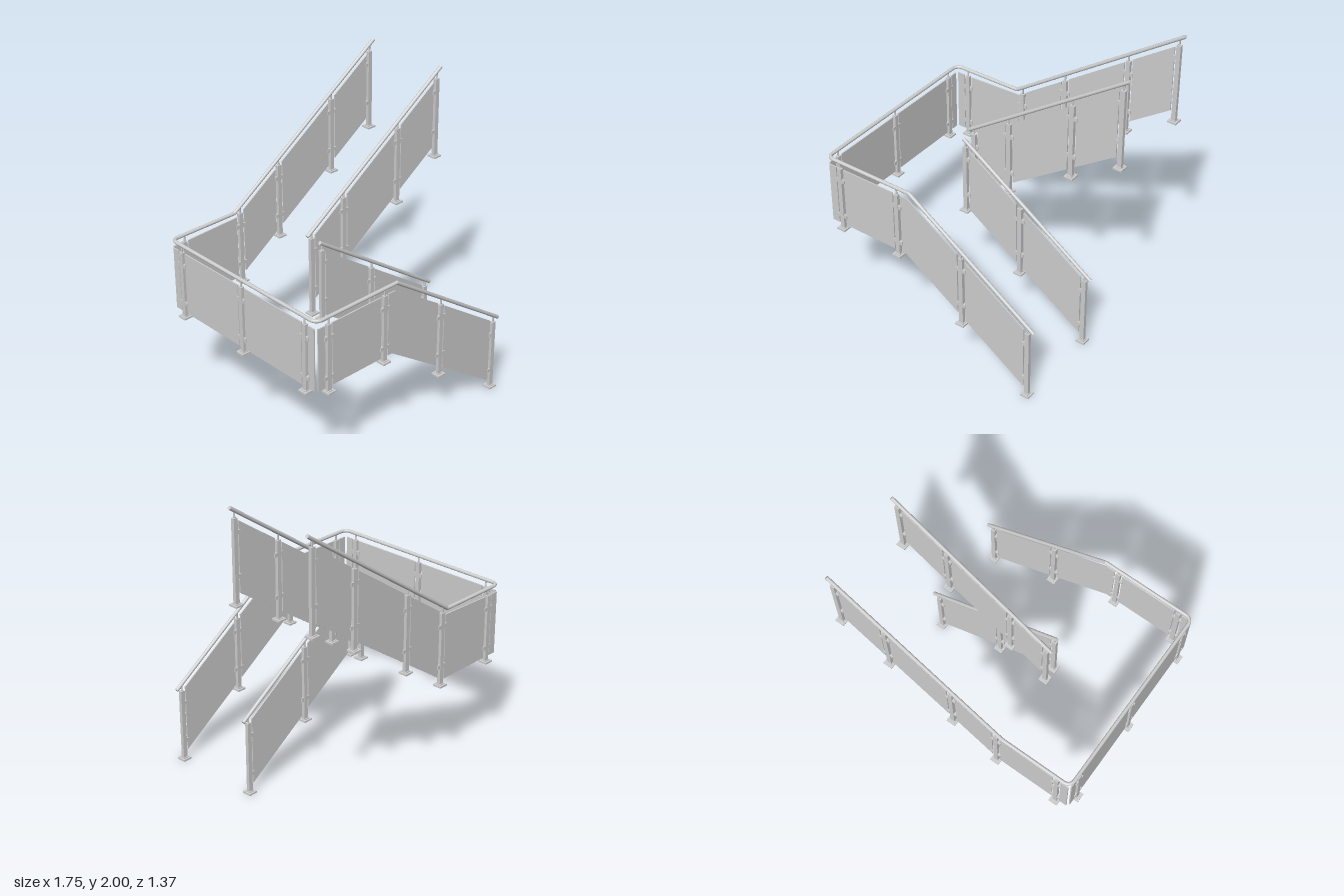
import * as THREE from 'three';

const steel = new THREE.MeshStandardMaterial({ color: 0xcecece });
steel.name = 'satin grey';

const LEVEL = 1.15, SLOPE = 0.688, RAIL_R = 0.012;
const HALF_W = 0.655, INNER = 0.046, END_X = -0.85, BEND_R = 0.045;

// Handrail heights along each flight
const level = () => LEVEL;
const lowerLine = x => LEVEL - SLOPE * (x + 0.205);
const upperLine = x => LEVEL + SLOPE * (x + 0.352);
const lowerOuter = x => Math.min(LEVEL, lowerLine(x));
const upperOuter = x => Math.max(LEVEL, upperLine(x));

// Lower edges of the infill panels
const LEVEL_BOTTOM = 0.674;
const lowerBottom = x => Math.min(LEVEL_BOTTOM, lowerLine(x) - 0.503);
const upperBottom = x => Math.max(LEVEL_BOTTOM, upperLine(x) - 0.5);
const levelBottom = () => LEVEL_BOTTOM;

function add(parent, name, geometry, x = 0, y = 0, z = 0) {
  const mesh = new THREE.Mesh(geometry, steel);
  mesh.name = name;
  mesh.position.set(x, y, z);
  parent.add(mesh);
  return mesh;
}

function box(parent, name, w, h, d, x, y) {
  return add(parent, name, new THREE.BoxGeometry(w, h, d), x, y, 0);
}

// Post with foot plate, collar, rail stem and panel clamps
function addPost(parent, x, base, railY, sides) {
  const post = new THREE.Group();
  post.name = 'post';
  const top = railY - 0.047;
  box(post, 'footPlate', 0.062, 0.012, 0.062, x, base + 0.006);
  box(post, 'footCollar', 0.038, 0.005, 0.038, x, base + 0.0145);
  box(post, 'upright', 0.03, top - base - 0.01, 0.023, x, (top + base + 0.01) / 2);
  add(post, 'railStem', new THREE.CylinderGeometry(0.006, 0.006, 0.047, 10), x, top + 0.0235, 0);
  for (const side of sides)
    for (const drop of [0.09, 0.362])
      box(post, 'panelClamp', 0.026, 0.026, 0.02, x + side * 0.024, top - drop);
  parent.add(post);
}

// Infill panel following the rail above and the floor line below
function addPanel(parent, x0, x1, railAt, bottomAt) {
  const xs = [x0];
  for (const kink of [-0.241, -0.22]) if (kink > x0 && kink < x1) xs.push(kink);
  xs.push(x1);
  const top = xs.map(x => new THREE.Vector2(x, railAt(x) - 0.048));
  const bottom = xs.map(x => new THREE.Vector2(x, bottomAt(x))).reverse();
  const geometry = new THREE.ExtrudeGeometry(new THREE.Shape([...top, ...bottom]),
    { depth: 0.008, bevelEnabled: false });
  add(parent, 'infillPanel', geometry, 0, 0, -0.004);
}

// A row of posts with panels between them; stubs are short corner panels
function addRun(parent, name, posts, railAt, bottomAt, { startStub, endStub } = {}) {
  const run = new THREE.Group();
  run.name = name;
  const last = posts.length - 1;
  posts.forEach(([x, base], i) => {
    const sides = [];
    if (i > 0 || startStub !== undefined) sides.push(-1);
    if (i < last || endStub !== undefined) sides.push(1);
    addPost(run, x, base, railAt(x), sides);
    if (i < last) addPanel(run, x + 0.029, posts[i + 1][0] - 0.029, railAt, bottomAt);
  });
  if (startStub !== undefined) addPanel(run, startStub, posts[0][0] - 0.029, railAt, bottomAt);
  if (endStub !== undefined) addPanel(run, posts[last][0] + 0.029, endStub, railAt, bottomAt);
  parent.add(run);
  return run;
}

// Round bar through a list of points, with ball joints
function addRail(parent, name, points) {
  const rail = new THREE.Group();
  rail.name = name;
  for (let i = 0; i < points.length - 1; i++) {
    const a = points[i], b = points[i + 1];
    const dir = b.clone().sub(a);
    const bar = add(rail, 'railBar', new THREE.CylinderGeometry(RAIL_R, RAIL_R, dir.length(), 16));
    bar.position.copy(a).add(b).multiplyScalar(0.5);
    bar.quaternion.setFromUnitVectors(new THREE.Vector3(0, 1, 0), dir.normalize());
    if (i > 0) add(rail, 'railJoint', new THREE.SphereGeometry(RAIL_R, 12, 8), a.x, a.y, a.z);
  }
  parent.add(rail);
}

// Points around a landing corner, from the side towards the end
function corner(sign) {
  const pts = [];
  for (let i = 0; i <= 6; i++) {
    const t = (i / 6) * Math.PI / 2;
    pts.push(new THREE.Vector3(END_X + BEND_R * (1 - Math.sin(t)), LEVEL,
      sign * (HALF_W - BEND_R * (1 - Math.cos(t)))));
  }
  return pts;
}

export function createModel() {
  const model = new THREE.Group();
  model.name = 'stairRailing';
  const V = (x, y, z) => new THREE.Vector3(x, y, z);

  const landing = [[-0.755, 0.635], [-0.305, 0.635]];
  const lower = [[0.18, 0.32], [0.675, 0]];
  const upper = [[0.025, 0.845], [0.487, 1.16], [0.83, 1.37]];
  const newel = [-0.245, 0.635];

  // Outer and inner runs of both flights
  addRun(model, 'lowerOuterRun', [...landing, ...lower], lowerOuter, lowerBottom,
    { startStub: -0.838 }).position.z = HALF_W;
  addRun(model, 'lowerInnerRun', [newel, ...lower], lowerLine, lowerBottom).position.z = INNER;
  addRun(model, 'upperInnerRun', [newel, ...upper], upperLine, upperBottom).position.z = -INNER;
  addRun(model, 'upperOuterRun', [...landing, ...upper], upperOuter, upperBottom,
    { startStub: -0.838 }).position.z = -HALF_W;

  // Run across the end of the landing
  const end = addRun(model, 'landingEndRun', [[-0.56, 0.635], [0, 0.635], [0.56, 0.635]],
    level, levelBottom, { startStub: -0.64, endStub: 0.64 });
  end.rotation.y = Math.PI / 2;
  end.position.x = END_X;

  // Continuous outer handrail and two inner handrails
  addRail(model, 'outerHandrail', [
    V(0.717, lowerLine(0.717), HALF_W), V(-0.205, LEVEL, HALF_W),
    ...corner(1), ...corner(-1).reverse(),
    V(-0.352, LEVEL, -HALF_W), V(0.867, upperLine(0.867), -HALF_W),
  ]);
  addRail(model, 'lowerInnerHandrail',
    [V(-0.26, lowerLine(-0.26), INNER), V(0.717, lowerLine(0.717), INNER)]);
  addRail(model, 'upperInnerHandrail',
    [V(-0.28, upperLine(-0.28), -INNER), V(0.867, upperLine(0.867), -INNER)]);

  return model;
}
